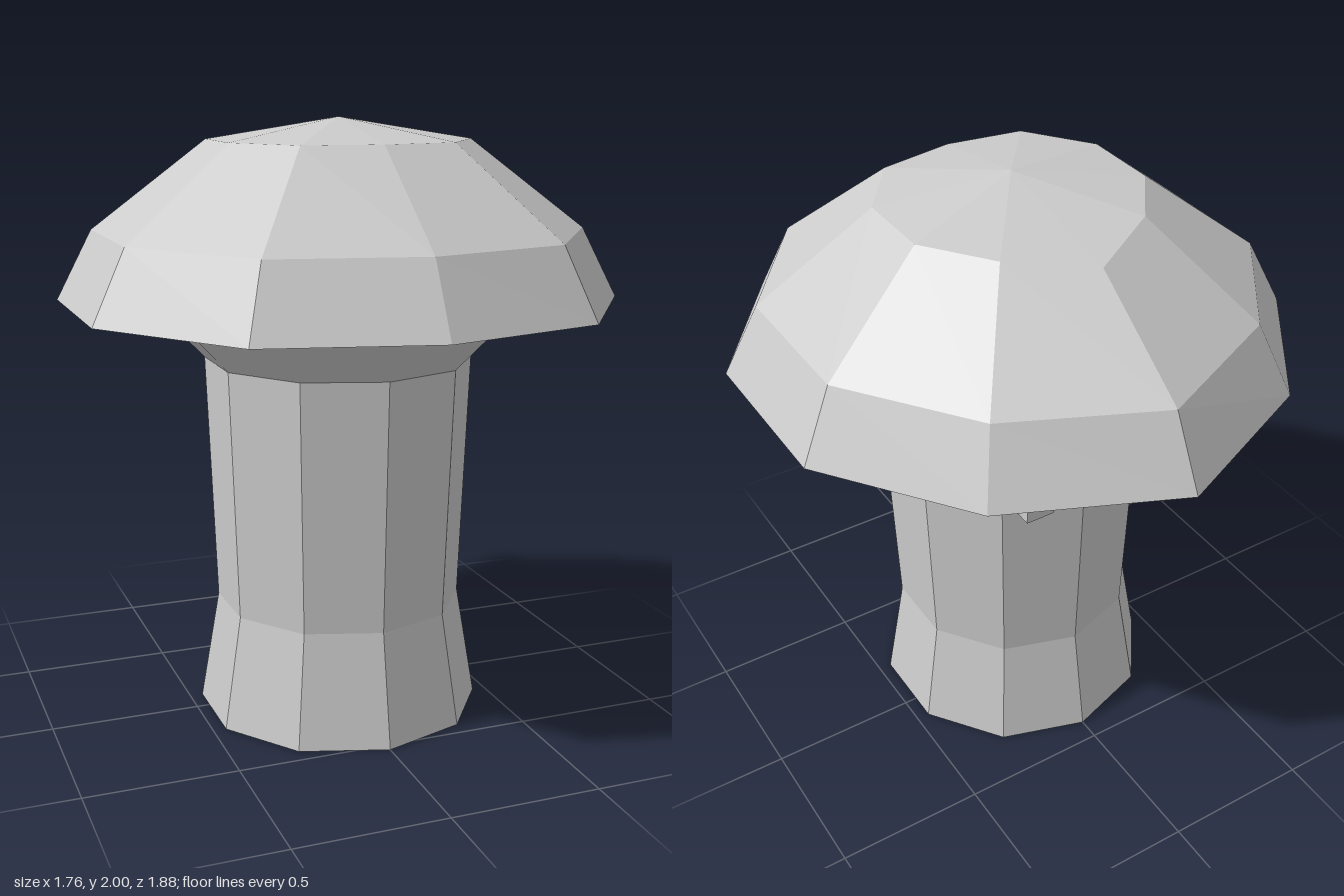
import * as THREE from 'three';

const SIDES = 10;
const AXIS_Z = 0.055;
const material = new THREE.MeshStandardMaterial({ color: 0xcccccc, flatShading: true });

function addMesh(group, name, geometry) {
  const mesh = new THREE.Mesh(geometry, material);
  mesh.name = name;
  group.add(mesh);
  return mesh;
}

// Ten-sided turned solid with one corner facing the front
function turned(profile, moveVertex) {
  const points = profile.map(([r, y]) => new THREE.Vector2(r, y));
  const geometry = new THREE.LatheGeometry(points, SIDES);
  const pos = geometry.attributes.position;
  const v = new THREE.Vector3();
  for (let i = 0; i < pos.count; i++) {
    v.fromBufferAttribute(pos, i);
    if (moveVertex) moveVertex(v);
    pos.setXYZ(i, v.x, v.y, v.z + AXIS_Z);
  }
  const flat = geometry.toNonIndexed();
  flat.computeVertexNormals();
  return flat;
}

export function createModel() {
  const group = new THREE.Group();
  group.name = 'mushroom';

  // Stem: spread foot, slight waist, flare under the cap
  addMesh(group, 'stem', turned([[0, 0], [0.48, 0], [0.415, 0.38], [0.447, 1.215], [0.64, 1.41]]));

  // Cap: faceted dome whose front and back ridges are pulled backward
  const cap = [[0, 1.41], [0.927, 1.41], [0.808, 1.64], [0.43, 1.93], [0, 2]];
  addMesh(group, 'cap', turned(cap, (v) => {
    if (Math.abs(v.x) > 0.01 || Math.abs(v.z) < 0.01) return;
    const back = v.z < 0;
    v.z -= back ? 0.066 : 0.04;
    if (back && v.y > 1.9) v.y = 1.905;
  }));

  // Pair of small blocks on the back of the stem
  for (const side of [1, -1]) {
    const block = addMesh(group, side > 0 ? 'leftBlock' : 'rightBlock', new THREE.BoxGeometry(0.1, 0.092, 0.1));
    block.position.set(side * 0.164, 1.057, -0.332);
    block.rotation.x = -0.05;
  }
  return group;
}
